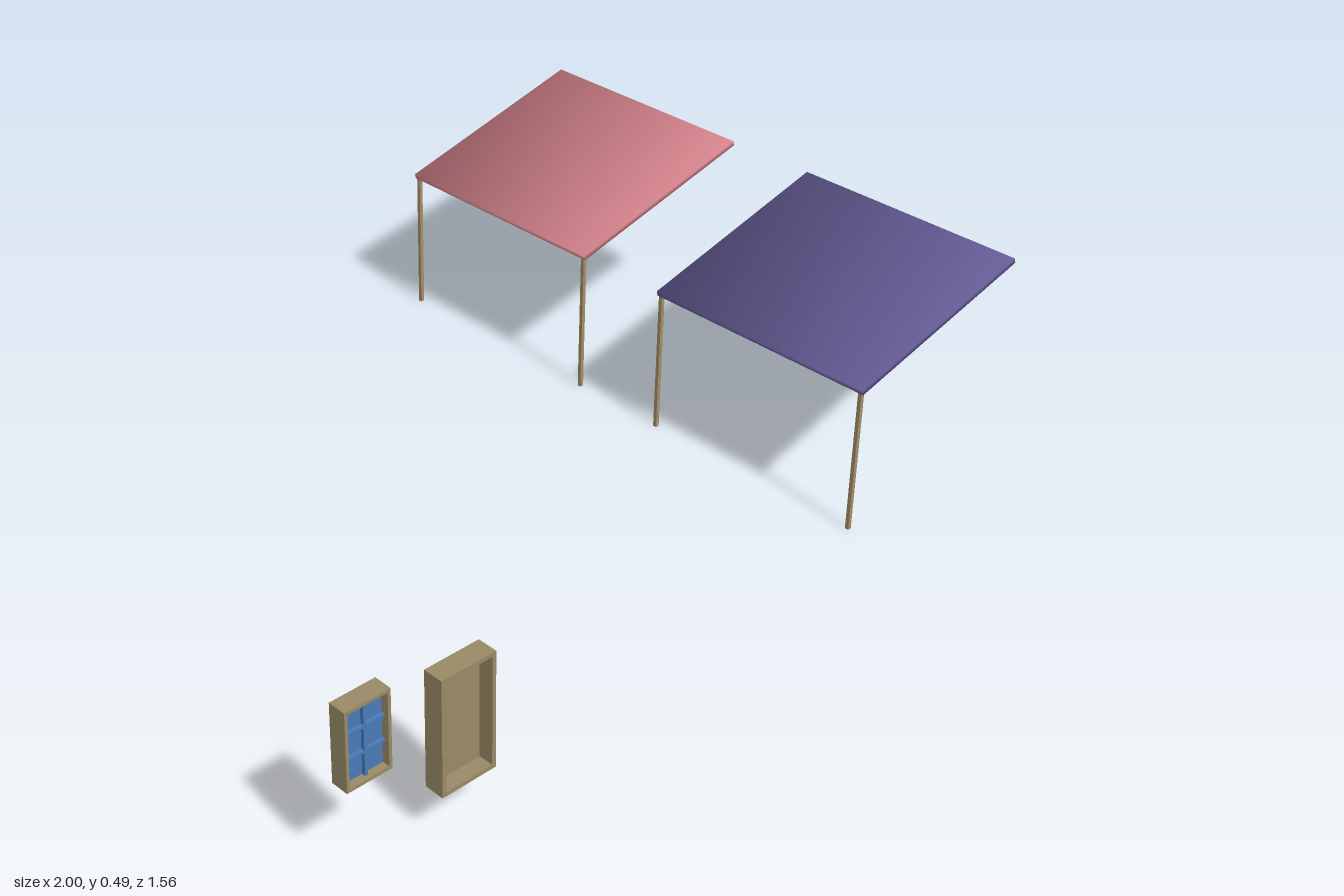
import * as THREE from 'three';

const material = (color) => new THREE.MeshStandardMaterial({ color });

function box(name, parent, mat, size, pos) {
  const mesh = new THREE.Mesh(new THREE.BoxGeometry(...size), mat);
  mesh.name = name;
  mesh.position.set(...pos);
  parent.add(mesh);
  return mesh;
}

// Box whose corner normals point diagonally outwards, for soft shading
function softBox(name, parent, mat, size, pos) {
  const mesh = box(name, parent, mat, size, pos);
  const { position, normal } = mesh.geometry.attributes;
  const n = new THREE.Vector3();
  for (let i = 0; i < position.count; i++) {
    n.fromBufferAttribute(position, i);
    n.set(Math.sign(n.x), Math.sign(n.y), Math.sign(n.z)).normalize();
    normal.setXYZ(i, n.x, n.y, n.z);
  }
  return mesh;
}

// Four bars around an opening, centred on the group's origin
function frame(parent, mat, w, h, d, t) {
  for (const s of [-1, 1]) {
    box('frameSide', parent, mat, [t, h, d], [s * (w - t) / 2, 0, 0]);
    box('frameRail', parent, mat, [w - 2 * t, t, d], [0, s * (h - t) / 2, 0]);
  }
}

function group(name, parent, x, y, z) {
  const g = new THREE.Group();
  g.name = name;
  g.position.set(x, y, z);
  parent.add(g);
  return g;
}

export function createModel() {
  const model = new THREE.Group();
  model.name = 'buildingParts';
  const wood = material(0x9a8b68);
  const post = material(0xa38d66);
  const blue = material(0x4a7ab8);

  // Two sloping awnings, each on a pair of thin posts
  for (const [name, color, z] of [['purpleAwning', 0x685f9a, 0.335], ['pinkAwning', 0xd9868f, -0.485]]) {
    const awning = group(name, model, 0, 0, z);
    const roof = softBox('roof', awning, material(color), [0.516, 0.012, 0.59], [0.748, 0.413, 0]);
    roof.rotation.z = THREE.MathUtils.degToRad(15);
    for (const s of [-1, 1]) {
      box('post', awning, post, [0.009, 0.346, 0.009], [0.505, 0.173, s * 0.286]);
    }
  }

  // Door: leaf flush with the back of its frame, lever handle behind
  const door = group('door', model, -0.745, 0.24, 0.7575);
  frame(door, wood, 0.128, 0.26, 0.045, 0.009);
  box('doorLeaf', door, wood, [0.11, 0.242, 0.012], [0, 0, -0.0165]);
  const dark = material(0x4a4338);
  box('handleStem', door, dark, [0.005, 0.006, 0.02], [0.043, 0, -0.032]);
  box('handleLever', door, dark, [0.03, 0.006, 0.004], [0.03, 0, -0.041]);

  // Window: glass in an open frame, with glazing bars on both faces
  const win = group('window', model, -0.949, 0.3, 0.731);
  frame(win, wood, 0.102, 0.174, 0.04, 0.007);
  box('glass', win, blue, [0.088, 0.16, 0.006], [0, 0, 0]);
  box('uprightBar', win, blue, [0.006, 0.16, 0.022], [0, 0, 0]);
  for (const s of [-1, 1]) {
    box('crossBar', win, blue, [0.088, 0.006, 0.0215], [0, s * 0.027, 0]);
  }
  return model;
}
